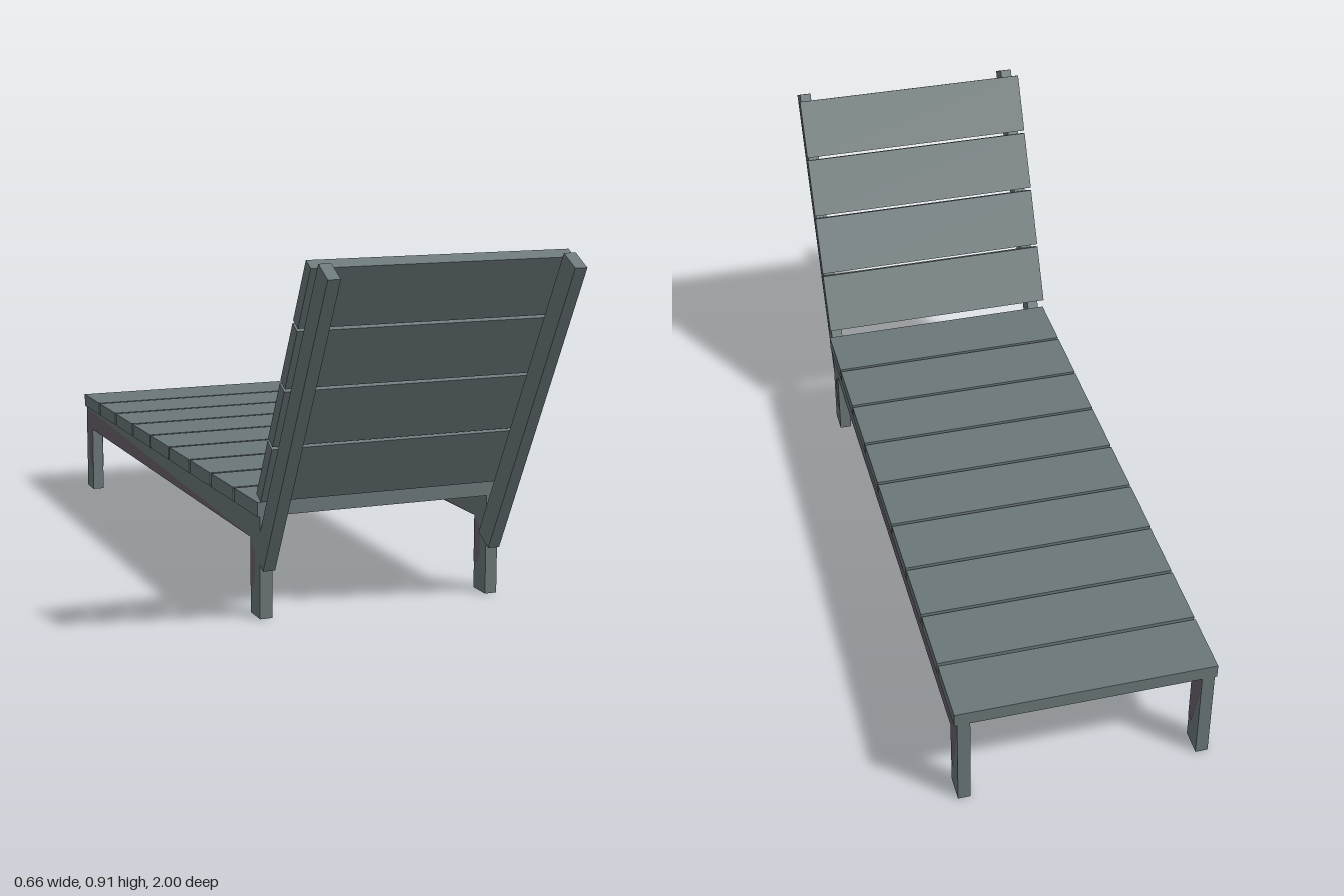
import * as THREE from 'three';

export function createModel() {
  const model = new THREE.Group();
  model.name = 'sunLounger';

  const slate = new THREE.MeshStandardMaterial({ color: 0x6b7779 });
  slate.name = 'slate grey';
  const mauve = new THREE.MeshStandardMaterial({ color: 0x6b606c, side: THREE.DoubleSide });
  mauve.name = 'mauve tint';

  // Box given by its minimum and maximum corners
  function box(parent, name, [x0, y0, z0], [x1, y1, z1]) {
    const mesh = new THREE.Mesh(new THREE.BoxGeometry(x1 - x0, y1 - y0, z1 - z0), slate);
    mesh.position.set((x0 + x1) / 2, (y0 + y1) / 2, (z0 + z1) / 2);
    mesh.name = name;
    parent.add(mesh);
  }

  // Outline in (z, y) coordinates
  const outline = (points) => new THREE.Shape(points.map(([z, y]) => new THREE.Vector2(z, y)));

  // Side frames: a rail and two legs cut as one bridge-shaped board
  const zBack = -0.997, zFront = 0.575, railLow = 0.192, railTop = 0.257;
  const inner = 0.29, outer = 0.322;
  const frameShape = outline([
    [zBack, 0], [-0.932, 0], [-0.932, railLow], [0.51, railLow],
    [0.51, 0], [zFront, 0], [zFront, railTop], [zBack, railTop],
  ]);
  const frameGeometry = new THREE.ExtrudeGeometry(frameShape, { depth: outer - inner, bevelEnabled: false });
  frameGeometry.rotateY(-Math.PI / 2);

  // Tinted areas on the faces of the frames
  const tintGeometry = new THREE.ShapeGeometry([
    outline([[0.5, railLow], [-0.932, railLow], [-0.99, 0.2], [-0.993, 0.25]]),
    outline([[0.51, 0.07], [0.53, 0.07], [0.543, 0.1], [0.543, 0.16], [0.51, railLow]]),
    outline([[-0.932, 0.07], [-0.932, railLow], [-0.99, 0.2], [-0.968, 0.12], [-0.955, 0.07]]),
  ]);
  tintGeometry.rotateY(-Math.PI / 2);

  for (const side of [-1, 1]) {
    const frame = new THREE.Mesh(frameGeometry, slate);
    frame.position.x = side > 0 ? outer : -inner;
    frame.name = side > 0 ? 'leftFrame' : 'rightFrame';
    model.add(frame);
    for (const x of [inner - 0.001, outer + 0.001]) {
      const tint = new THREE.Mesh(tintGeometry, mauve);
      tint.position.x = side * x;
      tint.name = 'frameTint';
      model.add(tint);
    }
  }

  // Seat slats
  const seat = new THREE.Group();
  seat.name = 'seat';
  model.add(seat);
  const seatGap = 0.009;
  const seatPitch = (zFront - zBack + seatGap) / 9;
  for (let i = 0; i < 9; i++) {
    const z = zBack + i * seatPitch;
    box(seat, 'seatSlat', [-0.328, railTop, z], [0.329, 0.293, z + seatPitch - seatGap]);
  }

  // Reclined backrest, built upright and tilted about the foot of its posts
  const backrest = new THREE.Group();
  backrest.name = 'backrest';
  backrest.position.set(0, 0.125, 0.595);
  backrest.rotation.x = Math.atan2(0.405, 0.755);
  model.add(backrest);
  for (const x of [-0.306, 0.302]) {
    box(backrest, 'backPost', [x - 0.0155, 0, -0.062], [x + 0.0155, 0.857, 0]);
  }
  const backGap = 0.008;
  const backPitch = (0.678 + backGap) / 4;
  for (let i = 0; i < 4; i++) {
    const y = 0.159 + i * backPitch;
    box(backrest, 'backSlat', [-0.331, y, -0.107], [0.326, y + backPitch - backGap, -0.074]);
  }

  return model;
}
